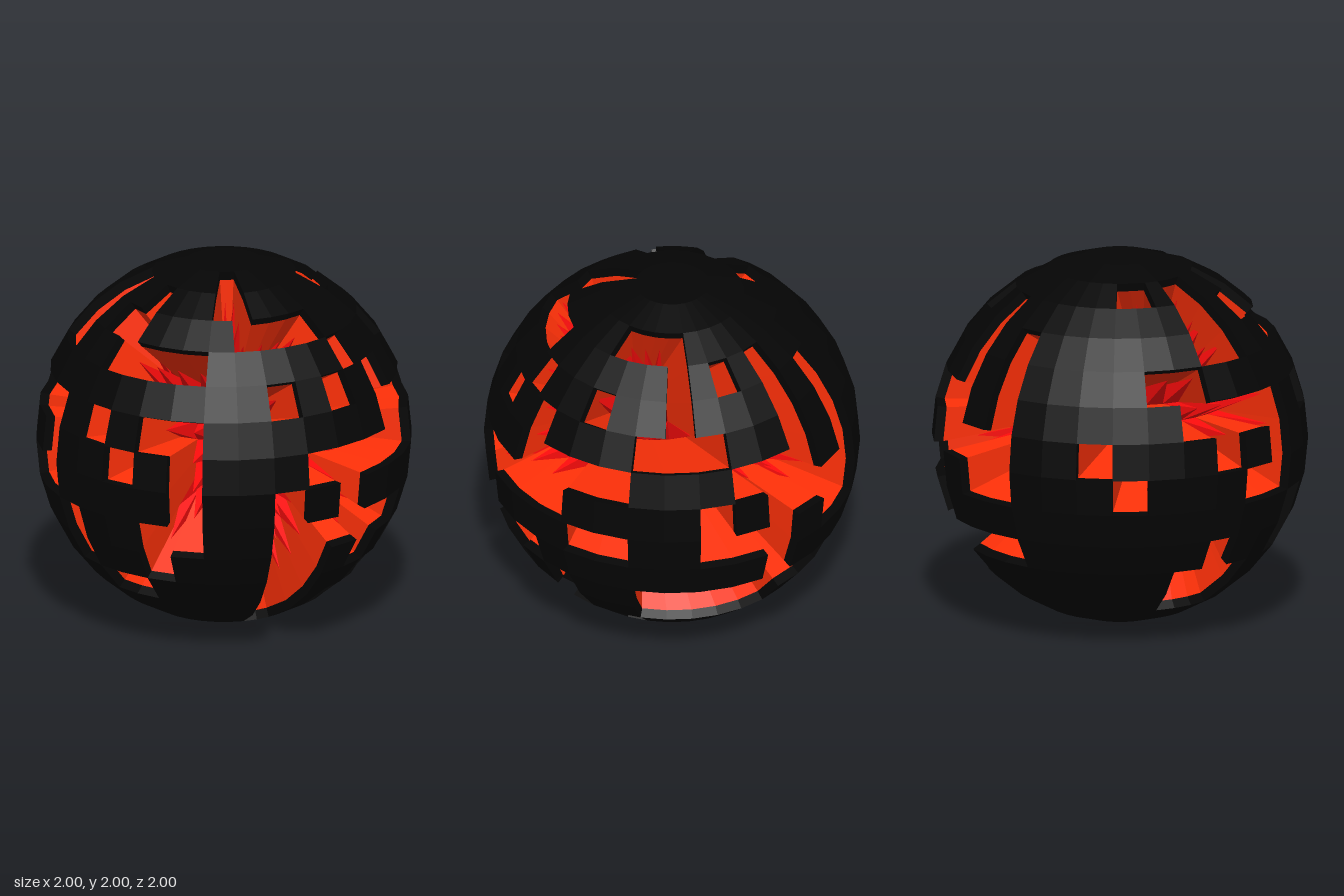
import * as THREE from 'three';

const ROWS = 16, COLS = 32;
const RIM = 0.95;                                   // underside of the plating
const CORE = new THREE.Vector3(0.08, 1.07, 0.05);   // the core sits off centre
const CORE_RADIUS = 0.5, SPIKE_RADIUS = 0.83;

// Rectangular openings: first ring from the top, first column from +z towards +x,
// then width and height in cells (1 if left out)
const OPENINGS = [
  // front and left
  [4, 0, 4], [2, 0, 1, 3], [6, 0], [6, 2], [6, 3, 1, 4], [9, 2, 1, 2], [11, 0, 2], [7, 1],
  [1, 4, 2, 2], [3, 5, 4], [5, 6], [5, 8], [5, 10], [4, 9],
  [7, 7, 5], [8, 6], [8, 8], [9, 8, 3], [9, 6, 2, 5],
  [10, 9], [10, 11], [11, 10, 2], [12, 9, 2],
  // back
  [2, 12, 4], [4, 12], [3, 15, 1, 2], [5, 14, 3], [6, 10, 4], [8, 12, 2], [12, 13],
  [3, 17], [6, 17], [6, 18, 1, 4], [7, 16], [8, 16, 2], [10, 14, 8], [11, 14, 5],
  // right and front
  [3, 19, 1, 5], [4, 21, 1, 5], [7, 20, 1, 2], [7, 24], [8, 25], [2, 25, 2], [3, 31],
  [5, 26, 2], [6, 27, 4], [7, 28], [7, 30], [8, 29, 2], [2, 28, 2, 3], [9, 31, 1, 2],
  [10, 28], [11, 27, 3, 2],
];
const isOpen = (i, j) => OPENINGS.some(([row, col, width = 1, height = 1]) =>
  i >= row && i < row + height && (j - col + COLS) % COLS < width);

// Unit direction of a grid corner; halves give cell centres
function direction(i, j) {
  return new THREE.Vector3().setFromSphericalCoords(1, i * Math.PI / ROWS, j * Math.PI * 2 / COLS);
}
const shellPoint = ([i, j], r) => direction(i, j).multiplyScalar(r).add(new THREE.Vector3(0, 1, 0));
const corePoint = ([i, j], r = CORE_RADIUS) => direction(i, j).multiplyScalar(r).add(CORE);

function triangle(list, a, b, c) {
  if (new THREE.Triangle(a, b, c).getArea() > 1e-7) list.push(a, b, c);
}
function quad(list, a, b, c, d) {
  triangle(list, a, b, c);
  triangle(list, a, c, d);
}

function makeMesh(name, points, color) {
  const geometry = new THREE.BufferGeometry().setFromPoints(points);
  geometry.computeVertexNormals();
  const material = new THREE.MeshStandardMaterial({ color, flatShading: true, side: THREE.DoubleSide });
  const mesh = new THREE.Mesh(geometry, material);
  mesh.name = name;
  return mesh;
}

export function createModel() {
  const plating = [], walls = [], spikes = [];

  for (let i = 0; i < ROWS; i++) {
    for (let j = 0; j < COLS; j++) {
      const corners = [[i, j], [i + 1, j], [i + 1, j + 1], [i, j + 1]];

      // Solid cell: outer plate
      if (!isOpen(i, j)) {
        quad(plating, ...corners.map((c) => shellPoint(c, 1)));
        continue;
      }

      // Open cell: plate rim and tapering shaft wall beside each solid neighbour
      const neighbours = [[i, j - 1], [i + 1, j], [i, j + 1], [i - 1, j]];
      neighbours.forEach(([ni, nj], k) => {
        if (isOpen(ni, nj)) return;
        const a = corners[k], b = corners[(k + 1) % 4];
        quad(plating, shellPoint(a, 1), shellPoint(b, 1), shellPoint(b, RIM), shellPoint(a, RIM));
        quad(walls, shellPoint(a, RIM), shellPoint(b, RIM), corePoint(b), corePoint(a));
      });

      // Four-sided spike on the core
      const tip = corePoint([i + 0.5, j + 0.5], SPIKE_RADIUS);
      corners.forEach((c, k) => triangle(spikes, corePoint(c), corePoint(corners[(k + 1) % 4]), tip));
    }
  }

  const model = new THREE.Group();
  model.name = 'spikedCoreSphere';
  model.add(
    makeMesh('outerPlating', plating, 0x050505),
    makeMesh('shaftWalls', walls, 0xff3008),
    makeMesh('coreSpikes', spikes, 0xff0c0c),
  );
  return model;
}
